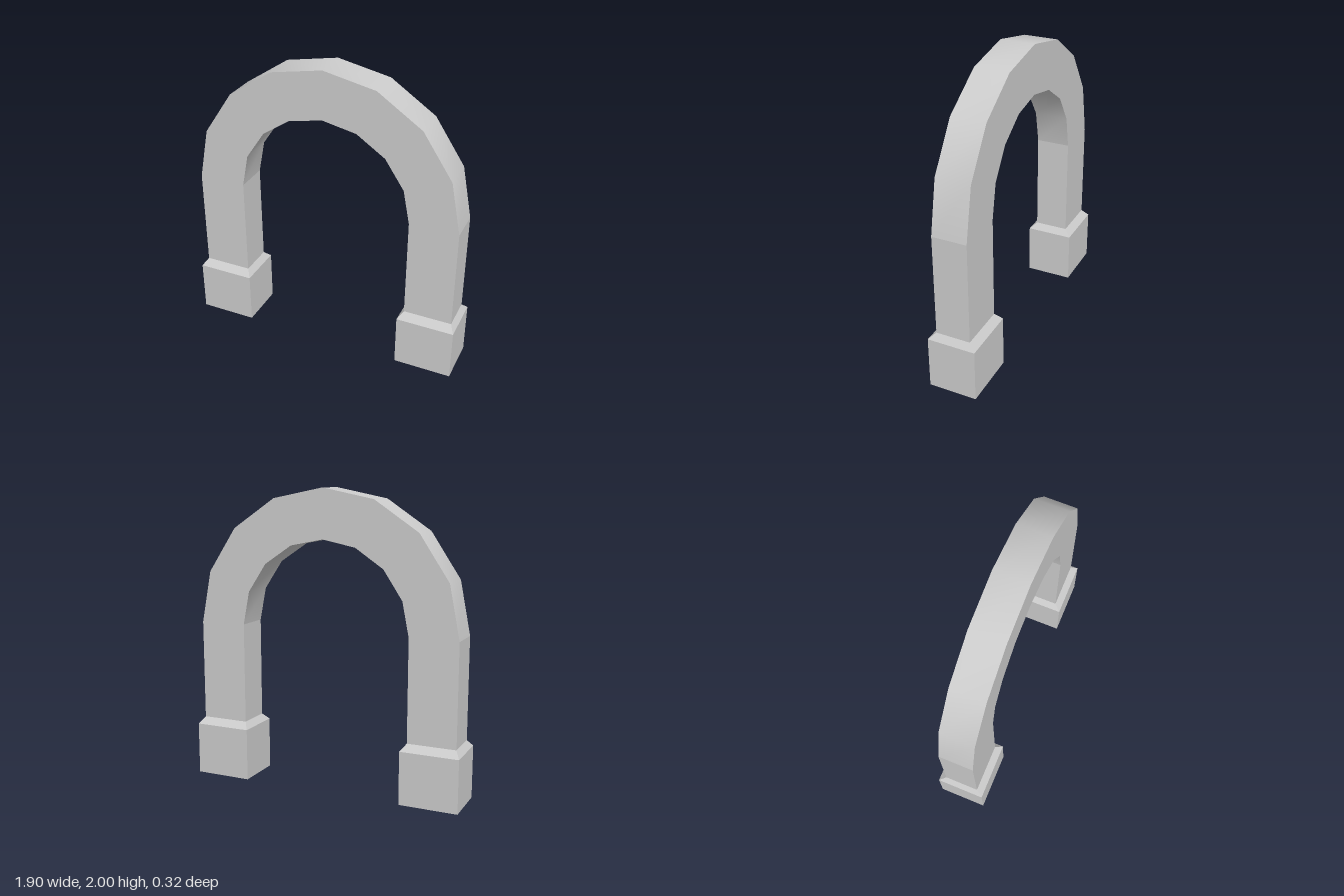
import * as THREE from 'three';
import { mergeGeometries } from 'three/addons/utils/BufferGeometryUtils.js';

const OUTER = 0.917, INNER = 0.591, HALF_DEPTH = 0.116; // arch ring
const SPRING_Y = 1.083, SHAFT_Y = 0.4, BASE_Y = 0.355;  // heights
const ARCH_SEGMENTS = 8;

// Four-sided open tube through rectangular sections: smooth along its length, sharp at its corners
function loft(sections) {
  const sides = [0, 1, 2, 3].map((side) => {
    const position = [], index = [];
    sections.forEach((section, i) => {
      position.push(...section[side], ...section[(side + 1) % 4]);
      if (i > 0) {
        const a = 2 * (i - 1);
        index.push(a, a + 1, a + 3, a, a + 3, a + 2);
      }
    });
    const geometry = new THREE.BufferGeometry();
    geometry.setAttribute('position', new THREE.Float32BufferAttribute(position, 3));
    geometry.setIndex(index);
    geometry.computeVertexNormals();
    return geometry;
  });
  return mergeGeometries(sides);
}

// Horizontal rectangle, counter-clockwise from above
const rect = (x0, x1, z, y) => [[x1, y, z], [x1, y, -z], [x0, y, -z], [x0, y, z]];

// Rectangle in the radial plane of the arch
function archSection(angle) {
  const c = Math.cos(angle), s = Math.sin(angle);
  return [[OUTER, 1], [OUTER, -1], [INNER, -1], [INNER, 1]]
    .map(([r, side]) => [r * c, SPRING_Y + r * s, side * HALF_DEPTH]);
}

export function createModel() {
  const model = new THREE.Group();
  model.name = 'archway';
  const material = new THREE.MeshStandardMaterial({ color: 0xcccccc, side: THREE.DoubleSide });

  const add = (name, sections) => {
    const mesh = new THREE.Mesh(loft(sections), material);
    mesh.name = name;
    model.add(mesh);
  };

  // Half-round top
  add('arch', Array.from({ length: ARCH_SEGMENTS + 1 },
    (_, i) => archSection((Math.PI * i) / ARCH_SEGMENTS)));

  // Hollow legs on wider plinths with a sloped shoulder
  for (const [side, s] of [['left', 1], ['right', -1]]) {
    const span = (a, b, z, y) => rect(Math.min(s * a, s * b), Math.max(s * a, s * b), z, y);
    const shaft = (y) => span(INNER, OUTER, HALF_DEPTH, y);
    const plinth = (y) => span(0.557, 0.948, 0.162, y);
    add(side + 'Leg', [shaft(SHAFT_Y), shaft(SPRING_Y)]);
    add(side + 'Shoulder', [plinth(BASE_Y), shaft(SHAFT_Y)]);
    add(side + 'Plinth', [plinth(0), plinth(BASE_Y)]);
  }
  return model;
}
